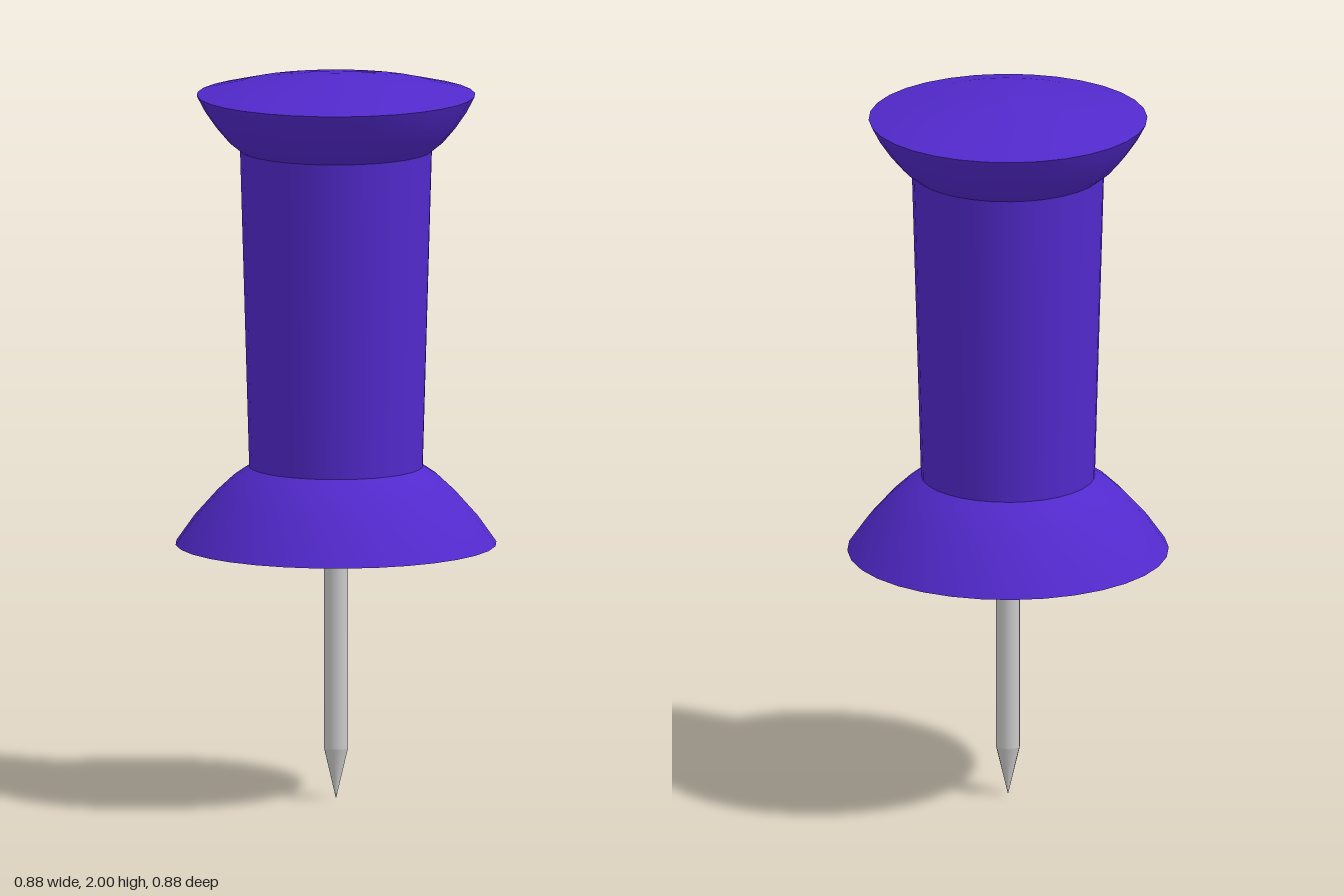
import * as THREE from 'three';

const SIDES = 32;

// Joins smooth lathe sections; separate sections meet in a sharp edge.
function turned(name, color, sections, sides) {
  const part = new THREE.Group();
  part.name = name;
  const material = new THREE.MeshStandardMaterial({ color });
  for (const [label, points] of Object.entries(sections)) {
    const profile = points.map(([r, y]) => new THREE.Vector2(r, y));
    const mesh = new THREE.Mesh(new THREE.LatheGeometry(profile, sides), material);
    mesh.name = label;
    part.add(mesh);
  }
  return part;
}

export function createModel() {
  const model = new THREE.Group();
  model.name = 'pushPin';

  // Plastic grip, from the flat underside up to the domed top
  model.add(turned('handle', 0x5229cc, {
    underside: [[0, 0.705], [0.438, 0.705]],
    flange: [[0.438, 0.705], [0.388, 0.776], [0.325, 0.847], [0.28, 0.889], [0.237, 0.918]],
    stem: [[0.237, 0.918], [0.262, 1.79]],
    collar: [[0.262, 1.79], [0.293, 1.815], [0.327, 1.855], [0.358, 1.9], [0.38, 1.942]],
    dome: [[0.38, 1.942], [0.27, 1.968], [0.13, 1.987], [0, 2]],
  }, SIDES));

  // Metal needle with its sharpened tip
  model.add(turned('needle', 0xcccccc, {
    tip: [[0, 0], [0.033, 0.14]],
    shaft: [[0.033, 0.14], [0.033, 0.72]],
  }, 16));

  return model;
}
